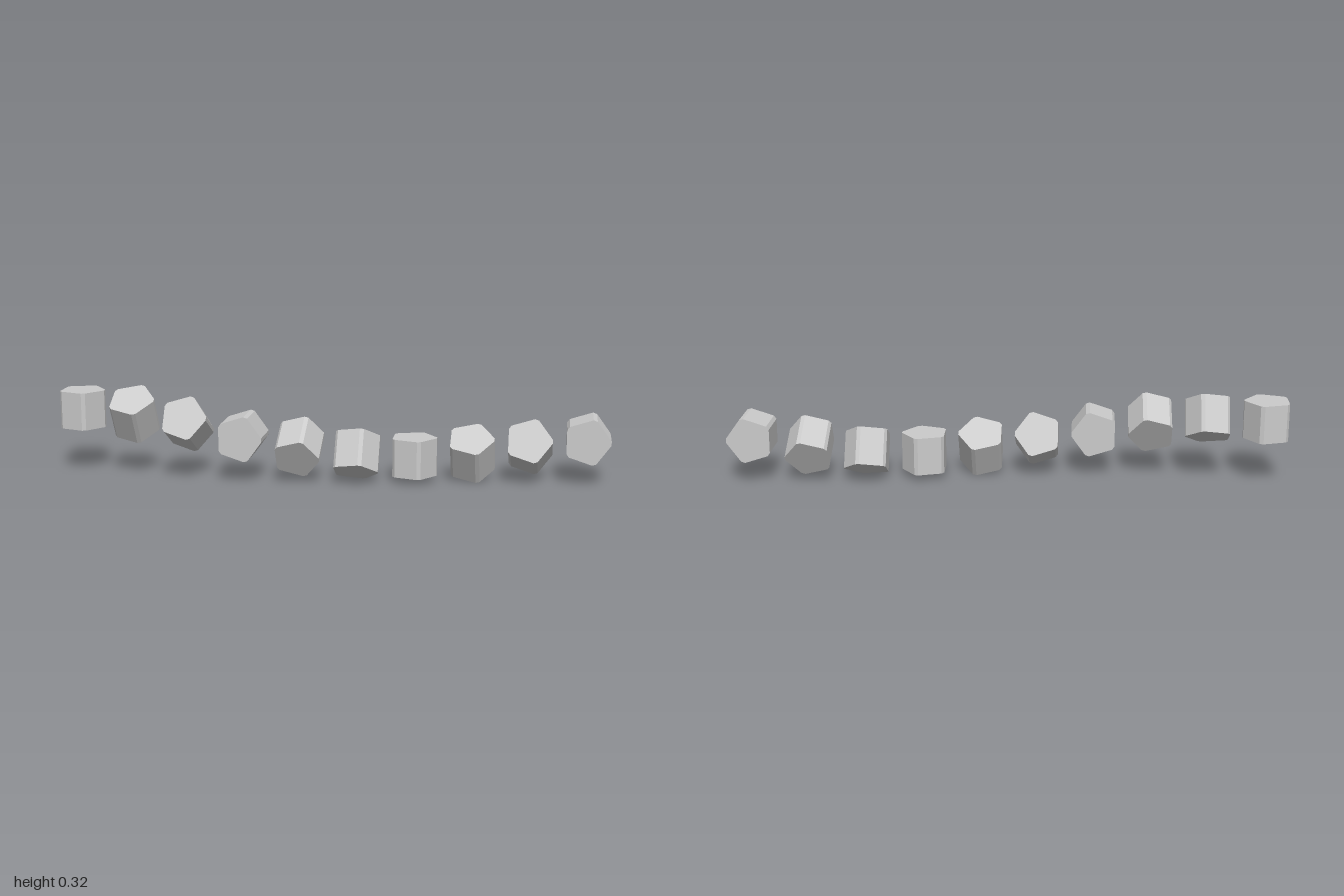
import * as THREE from 'three';

const COUNT = 10;
const DEPTH = 0.138;      // prism length
const CUT_RADIUS = 0.0838; // centre to the small cut on each corner
const CUT_HALF = 0.0075;   // half the width of that cut
const AXIS_Y = 0.163;
const FIRST_X = -0.9278, LAST_X = 0.9162;

// Pentagon pointing to +x with slightly cut corners
function pentagonShape() {
  const points = [];
  for (let k = 0; k < 5; k++) {
    const a = (k * 2 * Math.PI) / 5;
    for (const s of [-CUT_HALF, CUT_HALF]) {
      points.push(new THREE.Vector2(
        CUT_RADIUS * Math.cos(a) - s * Math.sin(a),
        CUT_RADIUS * Math.sin(a) + s * Math.cos(a)
      ));
    }
  }
  return new THREE.Shape(points);
}

export function createModel() {
  const model = new THREE.Group();
  model.name = 'twistedPrismRow';

  const material = new THREE.MeshStandardMaterial({ color: 0xcccccc, flatShading: true });
  const geometry = new THREE.ExtrudeGeometry(pentagonShape(), { depth: DEPTH, bevelEnabled: false });
  geometry.rotateX(-Math.PI / 2); // base on the axis, prism rising along y

  // Each prism is turned 30 degrees further about the row's axis
  for (let i = 0; i < COUNT; i++) {
    const prism = new THREE.Mesh(geometry, material);
    prism.name = `prism${i + 1}`;
    prism.position.set(THREE.MathUtils.lerp(FIRST_X, LAST_X, i / (COUNT - 1)), AXIS_Y, 0);
    prism.rotation.x = (i * Math.PI) / 6;
    model.add(prism);
  }
  return model;
}
